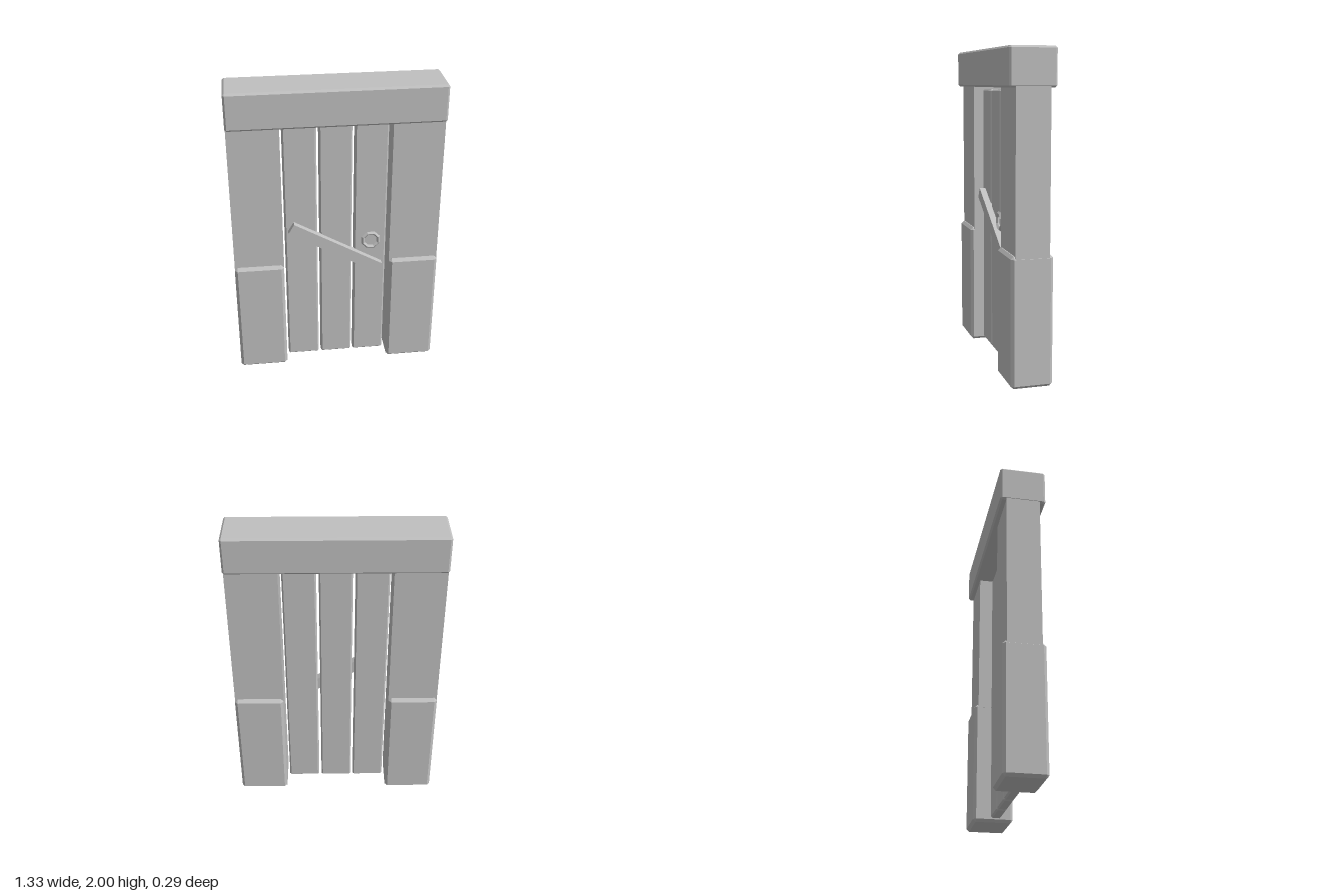
import * as THREE from 'three';
import { ConvexGeometry } from 'three/addons/geometries/ConvexGeometry.js';

// Box with every edge cut by a flat chamfer c
function chamferBox(w, h, d, c) {
  const points = [];
  for (const sx of [-1, 1]) for (const sy of [-1, 1]) for (const sz of [-1, 1]) {
    const x = w / 2, y = h / 2, z = d / 2;
    points.push(
      new THREE.Vector3(sx * x, sy * (y - c), sz * (z - c)),
      new THREE.Vector3(sx * (x - c), sy * y, sz * (z - c)),
      new THREE.Vector3(sx * (x - c), sy * (y - c), sz * z)
    );
  }
  return new ConvexGeometry(points);
}

export function createModel() {
  const model = new THREE.Group();
  model.name = 'door';
  const grey = new THREE.MeshStandardMaterial({ color: 0xc0c0c0 });
  grey.name = 'grey';
  grey.flatShading = true;

  function add(name, geometry, x, y, z) {
    const mesh = new THREE.Mesh(geometry, grey);
    mesh.name = name;
    mesh.position.set(x, y, z);
    model.add(mesh);
    return mesh;
  }

  // Lintel across the top
  add('lintel', chamferBox(1.33, 0.235, 0.286, 0.012), 0, 1.8825, 0);

  // Posts with wider chamfered footings
  for (const [side, s] of [['left', 1], ['right', -1]]) {
    add(side + 'Post', new THREE.BoxGeometry(0.318, 1.0, 0.21), s * 0.504, 1.28, 0);
    add(side + 'Footing', chamferBox(0.318, 0.8, 0.258, 0.018), s * 0.505, 0.4, 0);
  }

  // Three door planks
  for (let i = -1; i <= 1; i++) {
    add('plank', chamferBox(0.209, 1.73, 0.065, 0.01), i * 0.225, 0.884, 0.0125);
  }

  // Diagonal brace on the front
  const brace = add('brace', new THREE.BoxGeometry(0.663, 0.075, 0.05), -0.003, 0.885, 0.06);
  brace.rotation.z = -Math.PI / 6;

  // Eight-sided ring handle
  const ring = add('ringHandle', new THREE.TorusGeometry(0.053, 0.012, 4, 8), 0.225, 0.937, 0.08);
  ring.rotation.z = Math.PI / 8;

  return model;
}
